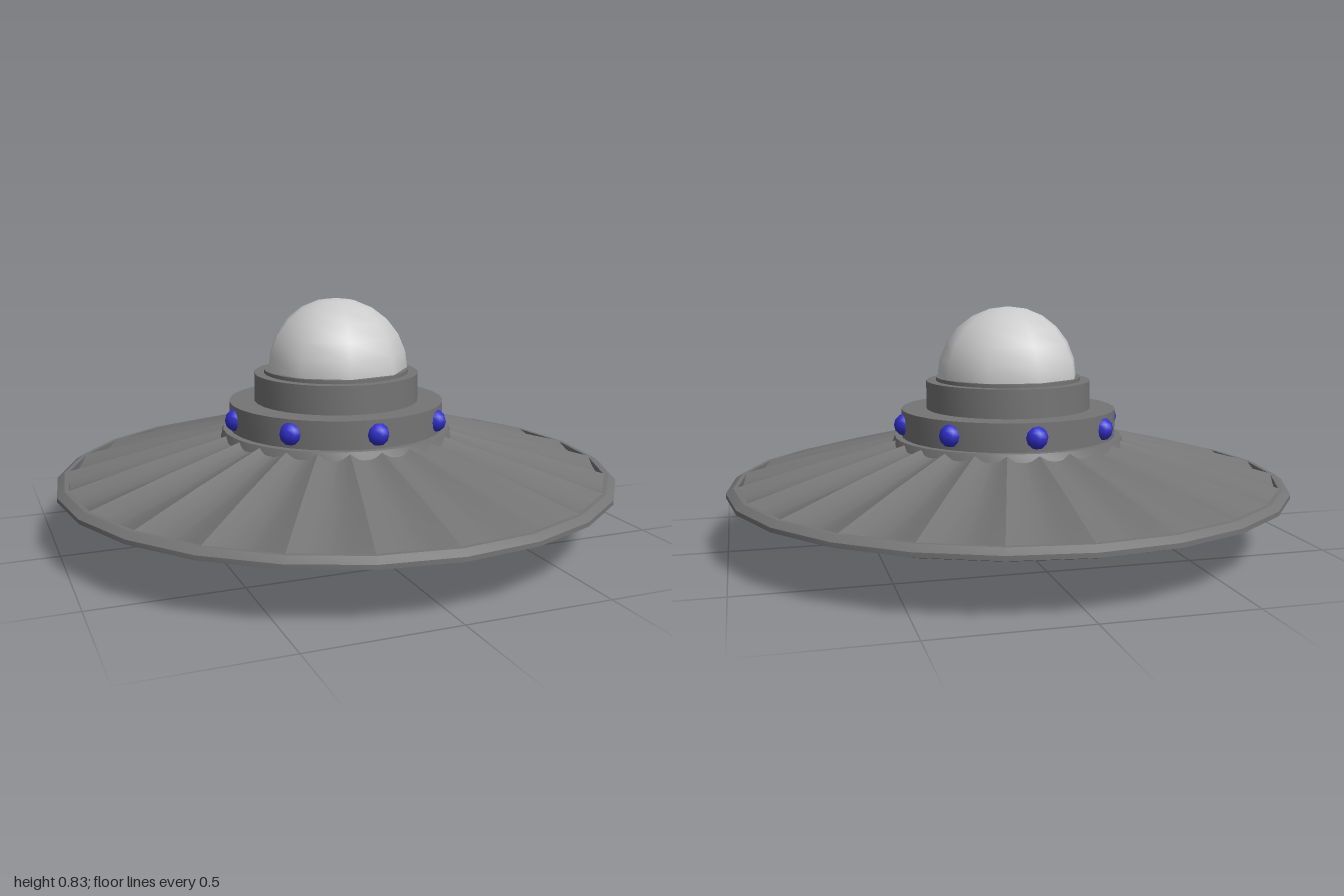
import * as THREE from 'three';
import { toCreasedNormals } from 'three/addons/utils/BufferGeometryUtils.js';

const paint = (color) => new THREE.MeshStandardMaterial({ color });
const HULL = paint(0x747474), GLASS = paint(0xcccccc), BLUE = paint(0x3030cc), YELLOW = paint(0xc8aa00);
const SIDES = 24;

function add(parent, name, geometry, material) {
  const mesh = new THREE.Mesh(geometry, material);
  mesh.name = name;
  parent.add(mesh);
  return mesh;
}

// Profile of [radius, height] pairs, bottom to top, with sharp edges kept
function turned(profile, sides = SIDES) {
  const points = profile.map(([r, y]) => new THREE.Vector2(r, y));
  return toCreasedNormals(new THREE.LatheGeometry(points, sides), 0.4);
}

// One hollowed wedge of the upper disc, between two sharp ridges
function flute() {
  const rings = [[0.37, 0.375, 0.018], [0.69, 0.297, 0.03], [0.97, 0.222, 0.025]];
  const steps = 4, positions = [], index = [];
  for (const [r, y, depth] of rings) {
    for (let i = 0; i <= steps; i++) {
      const t = i / steps;
      const a = t * Math.PI * 2 / SIDES;
      // Stay on the straight chord between the ridges
      const x = r * (1 - t + t * Math.cos(Math.PI * 2 / SIDES));
      positions.push(x, y - depth * Math.sin(Math.PI * t), -x * Math.tan(a));
    }
  }
  const row = steps + 1;
  for (let j = 0; j < rings.length - 1; j++) {
    for (let i = 0; i < steps; i++) {
      const a = j * row + i, b = a + row;
      index.push(a, b, a + 1, b, b + 1, a + 1);
    }
  }
  const g = new THREE.BufferGeometry();
  g.setAttribute('position', new THREE.Float32BufferAttribute(positions, 3));
  g.setIndex(index);
  g.computeVertexNormals();
  return g;
}

// Eight lamps evenly spaced around the craft
function lampRing(parent, name, radius, height, geometry, material) {
  const ring = new THREE.Group();
  ring.name = name + 's';
  for (let i = 0; i < 8; i++) {
    const a = i * Math.PI / 4;
    const lamp = add(ring, name, geometry, material);
    lamp.position.set(radius * Math.cos(a), height, radius * Math.sin(a));
    lamp.rotation.y = -a;
  }
  parent.add(ring);
}

export function createModel() {
  const craft = new THREE.Group();
  craft.name = 'flyingSaucer';

  // Shallow underside with a small recessed base
  add(craft, 'underside', turned([
    [0, 0.015], [0.07, 0.015], [0.1, 0.005], [0.17, 0.04], [0.97, 0.18],
  ]), HULL);

  // Bevelled outer rim
  add(craft, 'rim', turned([
    [0.97, 0.18], [1, 0.19], [1, 0.205], [0.975, 0.222], [0.96, 0.222], [0.96, 0.18],
  ]), HULL);

  // Fluted upper disc
  const disc = new THREE.Group();
  disc.name = 'upperDisc';
  const wedge = flute();
  for (let i = 0; i < SIDES; i++) {
    add(disc, 'flutedPanel', wedge, HULL).rotation.y = i * Math.PI * 2 / SIDES;
  }
  craft.add(disc);

  // Two stacked collars and the dome seat
  add(craft, 'lowerCollar', turned([
    [0.42, 0.345], [0.41, 0.372], [0.385, 0.372], [0.385, 0.47], [0.28, 0.47],
  ], 32), HULL);
  add(craft, 'upperCollar', turned([
    [0.295, 0.46], [0.295, 0.57], [0.26, 0.57], [0.26, 0.583], [0, 0.583],
  ], 32), HULL);

  // Glass dome
  const dome = add(craft, 'dome',
    new THREE.SphereGeometry(0.258, 9, 6, 0, Math.PI * 2, 0, Math.PI / 2), GLASS);
  dome.position.y = 0.575;

  // Lamps on the collar, beneath the disc and at the base
  lampRing(craft, 'collarLamp', 0.377, 0.42, new THREE.SphereGeometry(0.04, 8, 6), BLUE);
  lampRing(craft, 'undersideLamp', 0.75, 0.141,
    new THREE.SphereGeometry(0.033, 10, 6).scale(1, 0.6, 1), YELLOW);
  const baseLamp = add(craft, 'baseLamp',
    new THREE.SphereGeometry(0.068, 16, 8).scale(1, 0.25, 1), YELLOW);
  baseLamp.position.y = 0.017;

  return craft;
}
